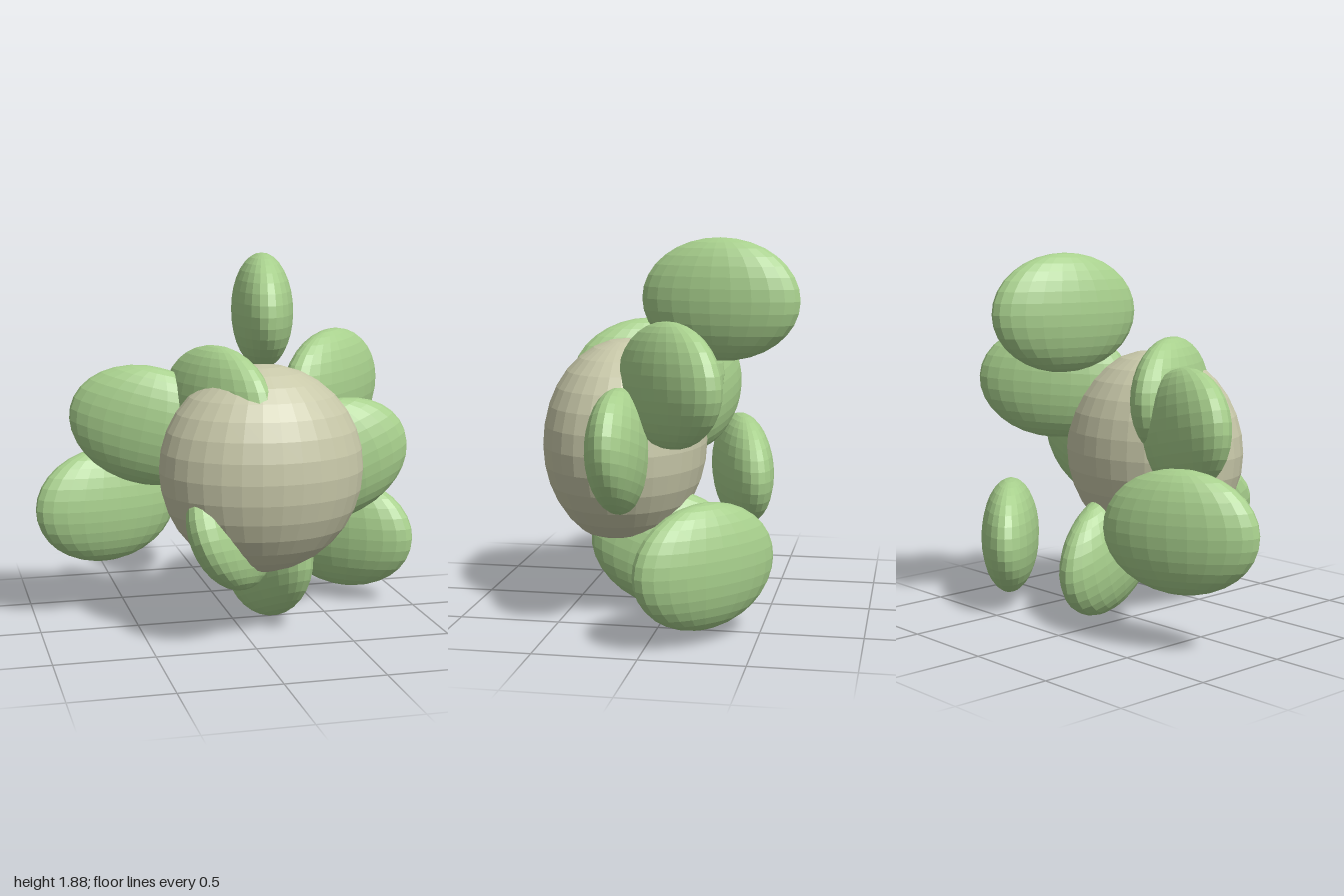
import * as THREE from 'three';

export function createModel() {
  const model = new THREE.Group();

  const cream = new THREE.MeshStandardMaterial({ color: 0xc8c8a9, flatShading: true });
  cream.name = 'cream';
  const leafGreen = new THREE.MeshStandardMaterial({ color: 0xa8d08d, flatShading: true });
  leafGreen.name = 'leafGreen';

  // Rounded core
  const core = new THREE.Mesh(new THREE.SphereGeometry(1, 32, 16), cream);
  core.name = 'core';
  core.scale.set(0.515, 0.523, 0.412);
  core.position.set(0.09, 0.845, 0.243);
  model.add(core);

  // Flattened ellipsoid petals: x = length, y = width, z = thickness
  const petalShape = new THREE.SphereGeometry(1, 24, 16);
  const addPetal = (name, center, along, up = [0, 1, 0], size = [0.405, 0.303, 0.152]) => {
    const length = new THREE.Vector3(...along).normalize();
    const normal = new THREE.Vector3().crossVectors(length, new THREE.Vector3(...up)).normalize();
    const width = new THREE.Vector3().crossVectors(normal, length);
    const petal = new THREE.Mesh(petalShape, leafGreen);
    petal.name = name;
    petal.quaternion.setFromRotationMatrix(new THREE.Matrix4().makeBasis(length, width, normal));
    petal.scale.set(...size);
    petal.position.set(...center);
    model.add(petal);
  };

  addPetal('topPetal', [0.22, 1.58, -0.258], [-0.176, 0, 0.98], undefined, [0.405, 0.3, 0.16]);
  addPetal('upperLeftPetal', [0.537, 1.195, -0.06], [0.74, 0.06, -0.67]);
  addPetal('middleLeftPetal', [0.478, 0.86, 0.188], [0.93, 0.34, 0]);
  addPetal('lowerLeftPetal', [0.682, 0.365, -0.258], [0.735, 0, 0.68]);
  addPetal('bottomPetal', [0.185, 0.315, 0], [0.24, 0.38, 0.92]);
  addPetal('lowerRightPetal', [-0.612, 0.587, -0.262], [-0.94, 0.03, 0.34]);
  addPetal('upperRightPetal', [-0.432, 1.033, -0.053], [-0.93, 0.22, -0.32]);
  addPetal('upperFrontPetal', [-0.118, 1.153, 0.16], [0.42, 0, 0.91]);
  addPetal('lowerFrontPetal', [-0.07, 0.535, 0.245], [-0.6, 0.22, 0.8], [-0.27, 0.94, -0.2]);

  return model;
}
